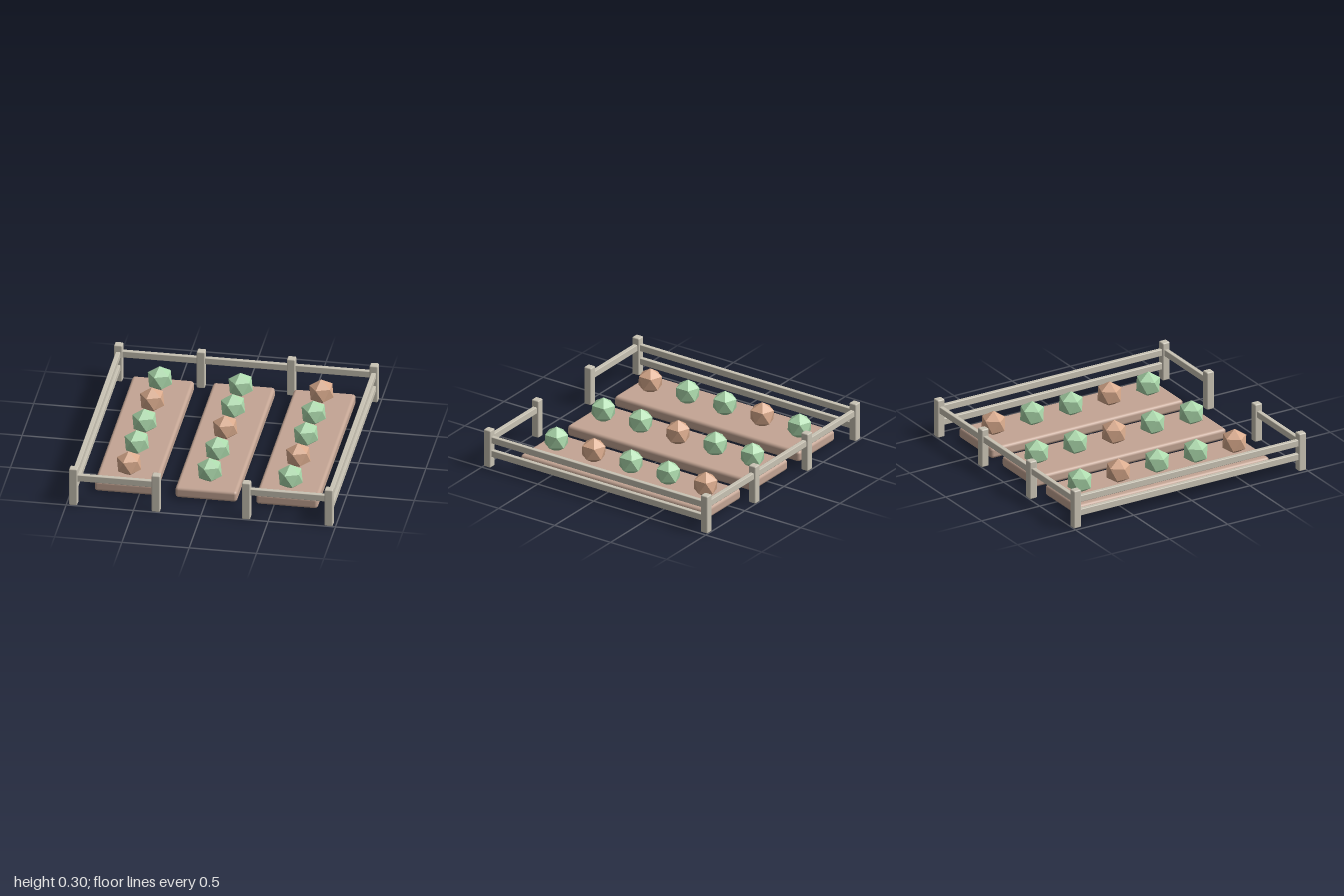
import * as THREE from 'three';
import { RoundedBoxGeometry } from 'three/addons/geometries/RoundedBoxGeometry.js';

function material(name, color) {
  const m = new THREE.MeshStandardMaterial({ color });
  m.name = name;
  return m;
}

export function createModel() {
  const garden = new THREE.Group();
  garden.name = 'vegetableGarden';

  const wood = material('paleWood', 0xcac4b5);
  const soil = material('soil', 0xc4a594);
  const green = material('leafGreen', 0xabd8ab);
  const orange = material('pumpkinOrange', 0xd9aa8c);
  green.flatShading = orange.flatShading = true;

  function add(name, geometry, mat, x, y, z, parent = garden) {
    const mesh = new THREE.Mesh(geometry, mat);
    mesh.name = name;
    mesh.position.set(x, y, z);
    parent.add(mesh);
    return mesh;
  }

  // Fence: eight posts, single rails front and back, double rails at the sides
  const fence = new THREE.Group();
  fence.name = 'fence';
  garden.add(fence);
  const X = 0.949, Z = 0.969, INNER = 0.335;
  const postGeometry = new RoundedBoxGeometry(0.062, 0.3, 0.062, 1, 0.009);
  for (const z of [-Z, Z]) {
    for (const x of [-X, -INNER, INNER, X]) add('post', postGeometry, wood, x, 0.15, z, fence);
  }

  const rail = (name, w, d, x, y, z) =>
    add(name, new RoundedBoxGeometry(w, 0.052, d, 1, 0.005), wood, x, y, z, fence);
  rail('backRail', 2 * X, 0.035, 0, 0.221, -Z);
  for (const side of [-1, 1]) {
    rail('frontRail', X - INNER, 0.035, side * (X + INNER) / 2, 0.221, Z);
    for (const y of [0.112, 0.221]) rail('sideRail', 0.035, 2 * Z, side * X, y, 0);
  }

  // Beds, each planted with a row of five faceted vegetables
  const bedGeometry = new RoundedBoxGeometry(0.46, 0.086, 1.656, 2, 0.024);
  const cropGeometry = new THREE.IcosahedronGeometry(0.1, 0);
  cropGeometry.rotateZ(0.58); // one corner points up
  const rows = ['GOGGO', 'GGOGG', 'OGGOG']; // back to front
  rows.forEach((row, i) => {
    const x = (i - 1) * 0.6;
    add('bed', bedGeometry, soil, x, 0.054, -0.05);
    [...row].forEach((kind, j) => {
      const isGreen = kind === 'G';
      add(isGreen ? 'cabbage' : 'pumpkin', cropGeometry, isGreen ? green : orange,
        x, 0.177, -0.053 + (j - 2) * 0.333);
    });
  });

  return garden;
}
